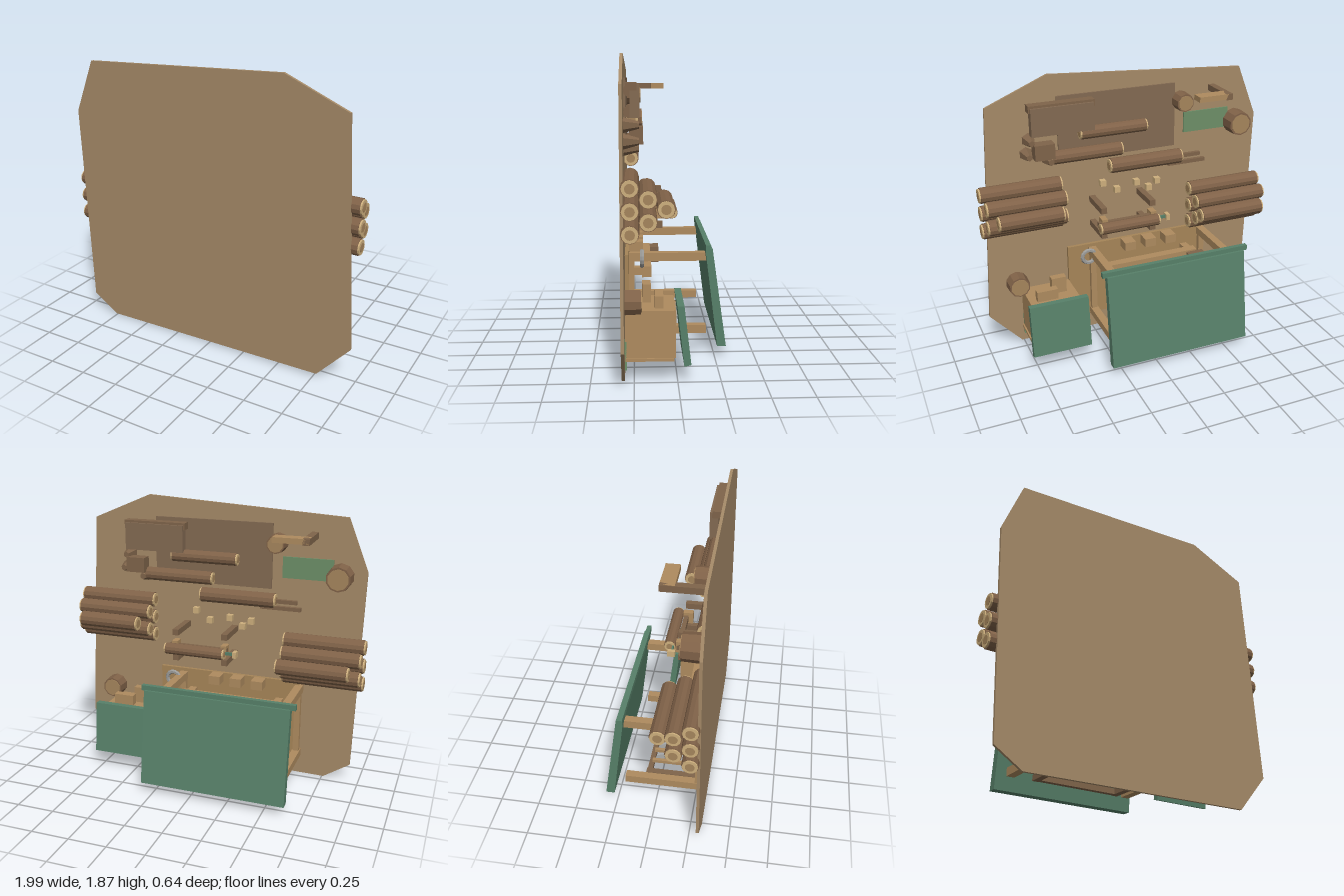
import * as THREE from 'three';

const mat = (color) => new THREE.MeshStandardMaterial({ color, flatShading: true });
const M = {
  ground: mat(0xa58a68), bark: mat(0x806248), ring: mat(0xcdaf7d), heart: mat(0xa5855c),
  beam: mat(0x7f644a), plank: mat(0xae8b5f), deck: mat(0xa68558), slab: mat(0x836a52),
  roof: mat(0x578069), grass: mat(0x6d8f68), steel: mat(0x9a9a98),
};

export function createModel() {
  const root = new THREE.Group();
  const add = (name, geo, m, parent = root) => {
    const mesh = new THREE.Mesh(geo, m);
    mesh.name = name;
    parent.add(mesh);
    return mesh;
  };
  const group = (name) => {
    const g = new THREE.Group();
    g.name = name;
    root.add(g);
    return g;
  };
  // Box given by its limits on each axis
  const box = (name, x0, x1, y0, y1, z0, z1, m, parent) => {
    const b = add(name, new THREE.BoxGeometry(x1 - x0, y1 - y0, z1 - z0), m, parent);
    b.position.set((x0 + x1) / 2, (y0 + y1) / 2, (z0 + z1) / 2);
    return b;
  };
  // Log lying along x, with a pale ring and darker heart on both ends
  const log = (x0, x1, y, z, r = 0.05, parent = root) => {
    const g = new THREE.Group();
    g.name = 'log';
    const len = x1 - x0;
    [[r, len - 0.02, M.bark], [r * 0.9, len, M.ring], [r * 0.55, len + 0.004, M.heart]].forEach(([rad, l, m], i) =>
      add(['bark', 'endRing', 'heartwood'][i], new THREE.CylinderGeometry(rad, rad, l, 12).rotateZ(Math.PI / 2), m, g));
    g.position.set((x0 + x1) / 2, y, z);
    parent.add(g);
  };
  // Cross-section of [z, y] points swept from x0 to x1
  const sweep = (name, pts, x0, x1, m, parent) => {
    const shape = new THREE.Shape(pts.map(([z, y]) => new THREE.Vector2(z, y)));
    const geo = new THREE.ExtrudeGeometry(shape, { depth: x1 - x0, bevelEnabled: false });
    add(name, geo.rotateY(-Math.PI / 2).translate(x1, 0, 0), m, parent);
  };

  // Ground plate, whose upper side faces -z
  const outline = [[-0.76, 0.005], [0.77, 0.025], [0.98, 0.26], [0.9, 1.7], [0.5, 1.87], [-0.84, 1.79], [-0.975, 1.45], [-0.935, 0.12]];
  const plate = new THREE.ExtrudeGeometry(new THREE.Shape(outline.map((p) => new THREE.Vector2(...p))), { depth: 0.018, bevelEnabled: false });
  add('groundPlate', plate.translate(0, 0, 0.303), M.ground);
  box('grassPatch', -0.76, -0.43, 1.38, 1.52, 0.292, 0.304, M.grass);
  box('grassPatch', 0.42, 0.75, 0.08, 0.25, 0.292, 0.304, M.grass);
  box('dirtPad', -0.36, 0.45, 1.3, 1.73, 0.29, 0.304, M.slab);

  // Two log pyramids
  const pile = (name, yMid, rows) => {
    const g = group(name);
    rows.forEach(([x0, x1], i) => {
      const n = 3 - i;
      for (let k = 0; k < n; k++) log(x0, x1, yMid + (k - (n - 1) / 2) * 0.123, 0.267 - i * 0.098, 0.051, g);
    });
  };
  pile('rightLogPile', 0.85, [[-1.0, -0.46], [-0.99, -0.47], [-0.93, -0.46]]);
  pile('leftLogPile', 1.037, [[0.45, 0.99], [0.45, 0.97], [0.5, 0.92]]);

  // Loose logs and poles
  log(-0.14, 0.32, 1.485, 0.255, 0.042);
  log(0.03, 0.52, 1.345, 0.26, 0.045);
  log(-0.4, 0.12, 1.23, 0.265, 0.05);
  box('pole', -0.57, -0.3, 1.175, 1.2, 0.24, 0.265, M.beam);
  box('pole', -0.54, -0.3, 1.215, 1.24, 0.255, 0.28, M.beam);

  // Chopping stumps
  for (const [x, y, r, z] of [[-0.81, 1.42, 0.08, 0.19], [-0.4, 1.61, 0.06, 0.205], [0.78, 0.49, 0.07, 0.21]]) {
    const g = group('stump');
    g.position.set(x, y, 0);
    add('stumpBark', new THREE.CylinderGeometry(r * 1.05, r, 0.3 - z, 10).rotateX(Math.PI / 2).translate(0, 0, (0.3 + z) / 2), M.bark, g);
    add('stumpTop', new THREE.CylinderGeometry(r * 0.85, r * 0.85, 0.01, 10).rotateX(Math.PI / 2).translate(0, 0, z), M.heart, g);
  }

  // Timber cart and crate with tapered feet
  const cart = group('timberCart');
  box('cartBody', 0.23, 0.64, 1.51, 1.69, 0.21, 0.265, M.slab, cart);
  box('cartRail', 0.22, 0.65, 1.66, 1.705, 0.225, 0.29, M.beam, cart);
  for (const x of [0.3, 0.58]) for (const y of [1.54, 1.66])
    add('cartWheel', new THREE.CylinderGeometry(0.035, 0.035, 0.03, 10).rotateZ(Math.PI / 2), M.beam, cart).position.set(x, y, 0.268);
  box('crate', 0.5, 0.63, 1.36, 1.46, 0.19, 0.27, M.beam, cart);
  for (const [x, y] of [[0.64, 1.47], [0.66, 1.38], [0.52, 1.33]])
    add('root', new THREE.CylinderGeometry(0.02, 0.045, 0.09, 6).rotateX(-Math.PI / 2), M.beam, cart).position.set(x, y, 0.258);

  // Sign post
  const sign = group('signPost');
  box('signPole', -0.655, -0.61, 1.65, 1.69, 0.04, 0.304, M.beam, sign);
  box('signBoard', -0.65, -0.42, 1.655, 1.69, 0.04, 0.125, M.plank, sign);

  // Scattered wood chips
  for (const [x, y] of [[0.16, 1.11], [0.06, 1.05], [-0.08, 1.08], [-0.17, 1.03], [-0.23, 1.07]])
    box('woodChip', x - 0.02, x + 0.02, y - 0.02, y + 0.02, 0.265, 0.304, M.ring);

  // Sawing trestle carrying a log
  const trestle = group('sawTrestle');
  for (const x of [-0.11, 0.23]) {
    for (const y of [0.83, 1.005]) box('trestleLeg', x - 0.02, x + 0.02, y - 0.02, y + 0.02, 0.07, 0.304, M.beam, trestle);
    box('trestleBar', x - 0.02, x + 0.02, 0.87, 0.95, 0.055, 0.12, M.plank, trestle);
  }
  box('trestleBeam', -0.13, 0.27, 0.89, 0.93, 0.06, 0.09, M.beam, trestle);
  log(-0.13, 0.28, 0.91, 0.015, 0.038, trestle);
  box('sawBlade', -0.19, -0.12, 0.9, 0.92, 0.032, 0.042, M.roof, trestle);
  box('sawHandle', -0.21, -0.185, 0.89, 0.93, 0.012, 0.06, M.ring, trestle);

  // Open work shed: deck, posts and sloping roof
  const shed = group('workShed');
  box('deck', -0.57, 0.42, 0.14, 0.68, 0.28, 0.304, M.deck, shed);
  for (const x of [-0.57, 0.25]) {
    for (const y of [0.165, 0.632]) box('shedPost', x - 0.026, x + 0.026, y - 0.026, y + 0.026, -0.2, 0.304, M.plank, shed);
    box('sideSill', x - 0.02, x + 0.02, 0.165, 0.63, 0.25, 0.285, M.plank, shed);
  }
  sweep('shedRoof', [[-0.19, 0.69], [-0.235, 0.69], [-0.322, 0.07], [-0.267, 0.07]], -0.64, 0.33, M.roof, shed);
  box('roofRidge', -0.67, 0.355, 0.685, 0.72, -0.22, -0.19, M.roof, shed);

  // Bench, crates and saw blade inside the shed
  box('workBench', -0.48, 0.22, 0.49, 0.56, 0.14, 0.2, M.plank, shed);
  for (const x of [-0.44, 0.18]) box('benchLeg', x - 0.025, x + 0.025, 0.5, 0.55, 0.2, 0.285, M.plank, shed);
  for (const x of [-0.3, -0.15, 0.0]) box('smallCrate', x - 0.04, x + 0.04, 0.62, 0.68, 0.19, 0.28, M.plank, shed);
  box('tallCrate', -0.52, -0.4, 0.44, 0.55, 0.08, 0.14, M.beam, shed);
  add('roundSaw', new THREE.TorusGeometry(0.045, 0.014, 6, 14), M.steel, shed).position.set(0.3, 0.63, 0.2);

  // Tool rack along the open side
  const rack = group('toolRack');
  for (const x of [-0.465, 0.09]) box('rackPost', x - 0.02, x + 0.02, 0.1, 0.135, -0.085, 0.28, M.beam, rack);
  box('rackBar', -0.485, 0.11, 0.1, 0.135, -0.08, -0.048, M.beam, rack);
  box('rackFoot', -0.485, 0.11, 0.1, 0.135, 0.21, 0.245, M.beam, rack);
  for (const x of [-0.38, -0.28]) {
    box('axeHandle', x - 0.011, x + 0.011, 0.135, 0.157, -0.06, 0.18, M.plank, rack);
    const head = new THREE.Shape([[0.0, -0.04], [0.035, -0.04], [0.06, 0.015], [0.0, 0.015]].map((p) => new THREE.Vector2(...p)));
    add('axeHead', new THREE.ExtrudeGeometry(head, { depth: 0.016, bevelEnabled: false }).rotateX(Math.PI / 2), M.steel, rack)
      .position.set(x, 0.155, 0);
  }

  // Small hut with its own sloping roof
  const hut = group('hut');
  box('hutWalls', 0.42, 0.75, 0.15, 0.43, 0.01, 0.3, M.plank, hut);
  sweep('hutRoof', [[0.005, 0.465], [-0.035, 0.465], [-0.075, 0.12], [-0.035, 0.11]], 0.39, 0.785, M.roof, hut);
  box('hutSill', 0.41, 0.76, 0.135, 0.152, 0.02, 0.3, M.plank, hut);
  box('hutShelf', 0.56, 0.7, 0.43, 0.5, 0.08, 0.13, M.plank, hut);
  box('hutStep', 0.48, 0.58, 0.43, 0.54, 0.15, 0.2, M.plank, hut);

  return root;
}
